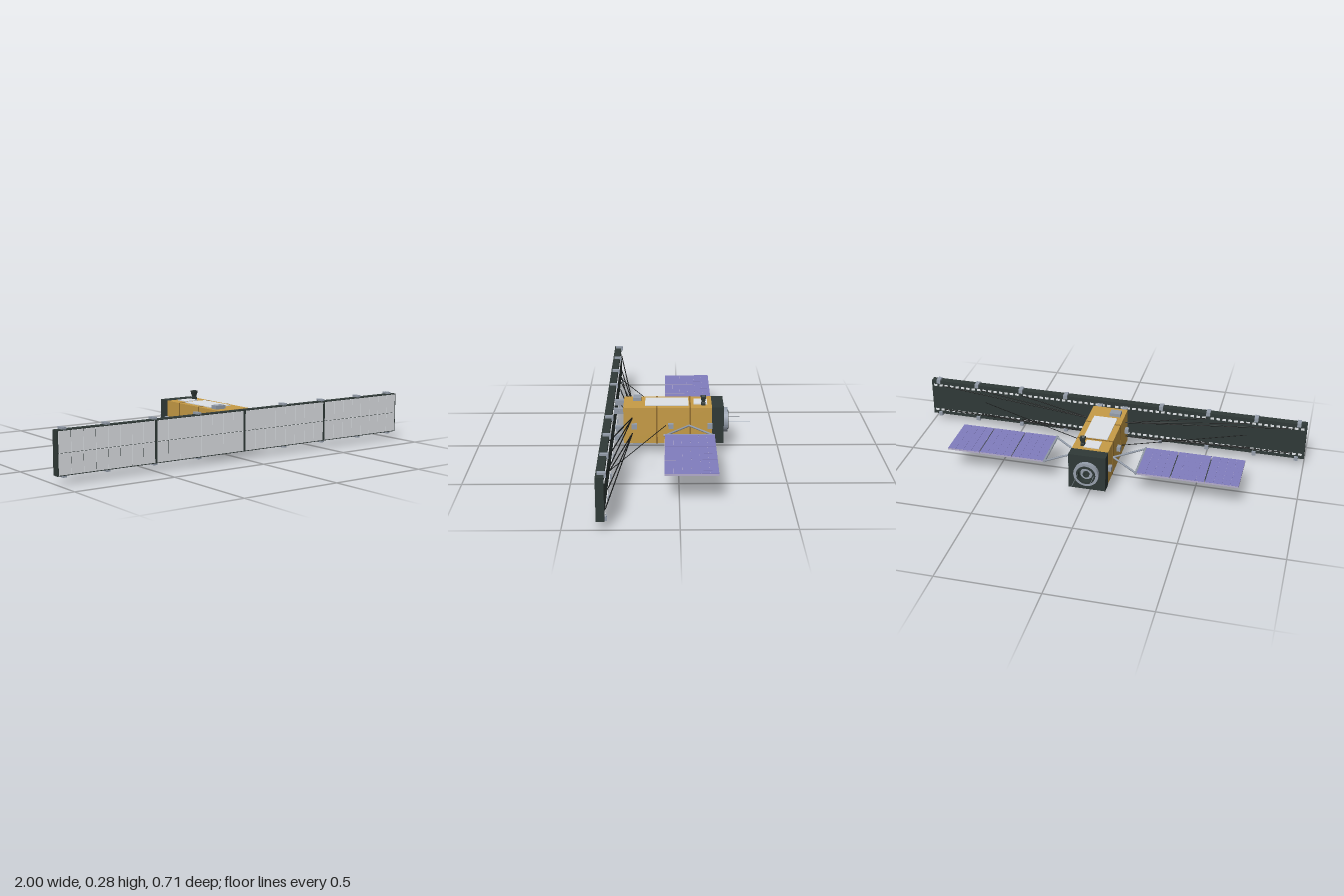
import * as THREE from 'three';

const mat = (name, color) => {
  const m = new THREE.MeshStandardMaterial({ color });
  m.name = name;
  return m;
};

export function createModel() {
  const gold = mat('goldFoil', 0xc79c46);
  const seamGold = mat('darkGold', 0x916d30);
  const dark = mat('darkStructure', 0x2f3937);
  const grey = mat('metalGrey', 0x959eab);
  const light = mat('lightPanel', 0xdfe2e6);
  const blue = mat('solarCell', 0x817dbe);
  const backing = mat('solarBacking', 0xb4adcc);
  const black = mat('blackStrut', 0x161818);

  const model = new THREE.Group();
  model.name = 'radarSatellite';
  const CY = 0.1375; // height of the central axis

  const add = (name, geo, m, x = 0, y = 0, z = 0, parent = model) => {
    const mesh = new THREE.Mesh(geo, m);
    mesh.name = name;
    mesh.position.set(x, y, z);
    parent.add(mesh);
    return mesh;
  };
  // Box given by its minimum and maximum on each axis
  const box = (name, m, x0, x1, y0, y1, z0, z1, parent = model) =>
    add(name, new THREE.BoxGeometry(x1 - x0, y1 - y0, z1 - z0), m,
      (x0 + x1) / 2, (y0 + y1) / 2, (z0 + z1) / 2, parent);
  // Round bar between two points
  const rod = (name, m, a, b, r) => {
    const p = new THREE.Vector3(...a), q = new THREE.Vector3(...b);
    const d = q.clone().sub(p), c = p.clone().add(q).multiplyScalar(0.5);
    const mesh = add(name, new THREE.CylinderGeometry(r, r, d.length(), 8), m, c.x, c.y, c.z);
    mesh.quaternion.setFromUnitVectors(new THREE.Vector3(0, 1, 0), d.normalize());
  };

  // Main bus with foil seams and rear equipment block
  box('bus', gold, -0.09, 0.09, 0.046, 0.229, -0.17, 0.268);
  for (const z of [0.104, -0.06])
    box('foilSeam', seamGold, -0.0912, 0.0912, 0.0448, 0.2302, z - 0.004, z + 0.004);
  box('rearBlock', dark, -0.092, 0.092, 0.0445, 0.2305, -0.225, -0.167);

  // Square horn: wide foot, narrow waist, flared mouth
  const hornProfile = [[0, 0], [0.01, 0], [0.01, 0.012], [0.008, 0.018], [0.0125, 0.04], [0.0125, 0.047], [0.01, 0.047], [0, 0.032]]
    .map(([r, y]) => new THREE.Vector2(r * Math.SQRT2, y));
  const horn = new THREE.LatheGeometry(hornProfile, 4, Math.PI / 4).toNonIndexed();
  horn.computeVertexNormals();

  // Radiators, equipment box and horn on top; turned half round for the underside
  for (const s of [1, -1]) {
    const deck = new THREE.Group();
    deck.name = s > 0 ? 'topDeck' : 'bottomDeck';
    deck.position.y = CY;
    if (s < 0) deck.rotation.z = Math.PI;
    model.add(deck);
    box('mainRadiator', light, -0.06, 0.06, 0.09, 0.0955, -0.052, 0.162, deck);
    box('rearRadiator', light, -0.04, 0.037, 0.09, 0.0955, -0.145, -0.078, deck);
    box('sensorBox', grey, -0.07, -0.015, 0.088, 0.109, 0.182, 0.222, deck);
    add('horn', horn, dark, 0.045, 0.0905, -0.125, deck);
  }

  // Rear docking ring, lip and nozzle, facing -z
  const ring = new THREE.Group();
  ring.name = 'rearRing';
  ring.position.set(0, CY, -0.222);
  ring.rotation.x = -Math.PI / 2;
  model.add(ring);
  const tube = (name, m, ri, ro, y0, y1) => {
    const s = new THREE.Shape().absarc(0, 0, ro, 0, Math.PI * 2);
    if (ri > 0) s.holes.push(new THREE.Path().absarc(0, 0, ri, 0, Math.PI * 2, true));
    const g = new THREE.ExtrudeGeometry(s, { depth: y1 - y0, bevelEnabled: false, curveSegments: 20 });
    g.rotateX(-Math.PI / 2);
    add(name, g, m, 0, y0, 0, ring);
  };
  tube('ringBase', dark, 0, 0.05, -0.004, 0.006);
  tube('outerRing', grey, 0.046, 0.062, 0.004, 0.025);
  tube('innerLip', dark, 0.038, 0.048, 0.004, 0.029);
  tube('innerDisc', grey, 0.016, 0.03, 0.004, 0.012);
  tube('nozzle', dark, 0.008, 0.016, 0.004, 0.02);

  // Whip antennas behind the bus
  rod('longWhip', grey, [0.04, CY, -0.22], [0.04, CY, -0.358], 0.0013);
  rod('shortWhip', grey, [-0.04, CY, -0.22], [-0.04, CY, -0.31], 0.0013);

  // Side details, solar wings and struts, one set per side
  for (const s of [1, -1]) {
    const side = (name, m, x0, x1, ...rest) =>
      s > 0 ? box(name, m, x0, x1, ...rest) : box(name, m, -x1, -x0, ...rest);

    for (const z of [0.215, 0.035, -0.157])
      side('sideUnit', grey, 0.085, 0.108, CY - 0.0125, CY + 0.0125, z - 0.013, z + 0.013);

    // Yoke of the solar wing
    const hub = [s * 0.09, CY, -0.055];
    rod('yokeArm', grey, hub, [s * 0.23, CY, -0.17], 0.005);
    rod('yokeArm', grey, hub, [s * 0.23, CY, 0.062], 0.005);
    rod('yokeBar', grey, [s * 0.23, CY, -0.176], [s * 0.23, CY, 0.07], 0.0065);

    // Three solar panels, each a backing board carrying a grid of cells
    for (let i = 0; i < 3; i++) {
      const x0 = 0.234 + i * 0.1665, x1 = x0 + 0.162;
      side('solarPanel', backing, x0, x1, CY - 0.005, CY + 0.004, -0.175, 0.065);
      for (let c = 0; c < 4; c++) for (let r = 0; r < 6; r++) {
        const cx = x0 + c * 0.0405, cz = -0.175 + r * 0.04;
        side('solarCell', blue, cx + 0.0002, cx + 0.0403, CY + 0.003, CY + 0.005, cz + 0.0002, cz + 0.0398);
      }
      if (i) side('panelHinge', dark, x0 - 0.0045, x0, CY - 0.004, CY + 0.002, -0.15, 0.04);
    }

    // Struts bracing the long antenna
    for (const v of [1, -1]) {
      for (const x of [0.5, 0.73, 0.95])
        rod('braceStrut', black, [s * 0.088, CY + v * 0.04, 0.224], [s * x, CY + v * 0.072, 0.318], 0.0026);
      // Mounting bracket with hinge pin
      const y = CY + v * 0.069;
      side('mountBracket', grey, 0.053, 0.079, y - 0.013, y + 0.013, 0.266, 0.317);
      rod('hingePin', grey, [s * 0.05, y, 0.287], [s * 0.082, y, 0.287], 0.006);
    }
    rod('longBrace', black, [s * 0.088, CY, 0.06], [s * 0.7, CY, 0.318], 0.0018);

    // Clamps along the antenna edges
    for (const x of [0.255, 0.5, 0.745, 0.96])
      for (const v of [1, -1]) {
        const y = CY + v * 0.098;
        side('edgeClamp', grey, x - 0.01, x + 0.01, y - 0.011, y + 0.011, 0.308, 0.347);
      }
  }

  // Long radar antenna: four panels with tiles in front and segmented rails behind
  for (let p = 0; p < 4; p++) {
    const x0 = -1 + p * 0.5;
    box('antennaPanel', dark, x0, x0 + 0.5, 0.038, 0.237, 0.317, 0.353);
    const w = 0.488 / 8, h = 0.0965;
    for (let c = 0; c < 8; c++) {
      const tx = x0 + 0.006 + c * w;
      for (let r = 0; r < 2; r++) {
        const ty = 0.041 + r * h;
        box('antennaTile', light, tx + 0.001, tx + w - 0.001, ty + 0.001, ty + h - 0.001, 0.35, 0.3555);
      }
      for (const v of [1, -1]) for (const k of [0.1, 0.6]) {
        const y = CY + v * 0.074, rx = tx + k * w;
        box('backRail', light, rx, rx + 0.3 * w, y - 0.005, y + 0.005, 0.313, 0.318);
      }
    }
  }
  return model;
}
